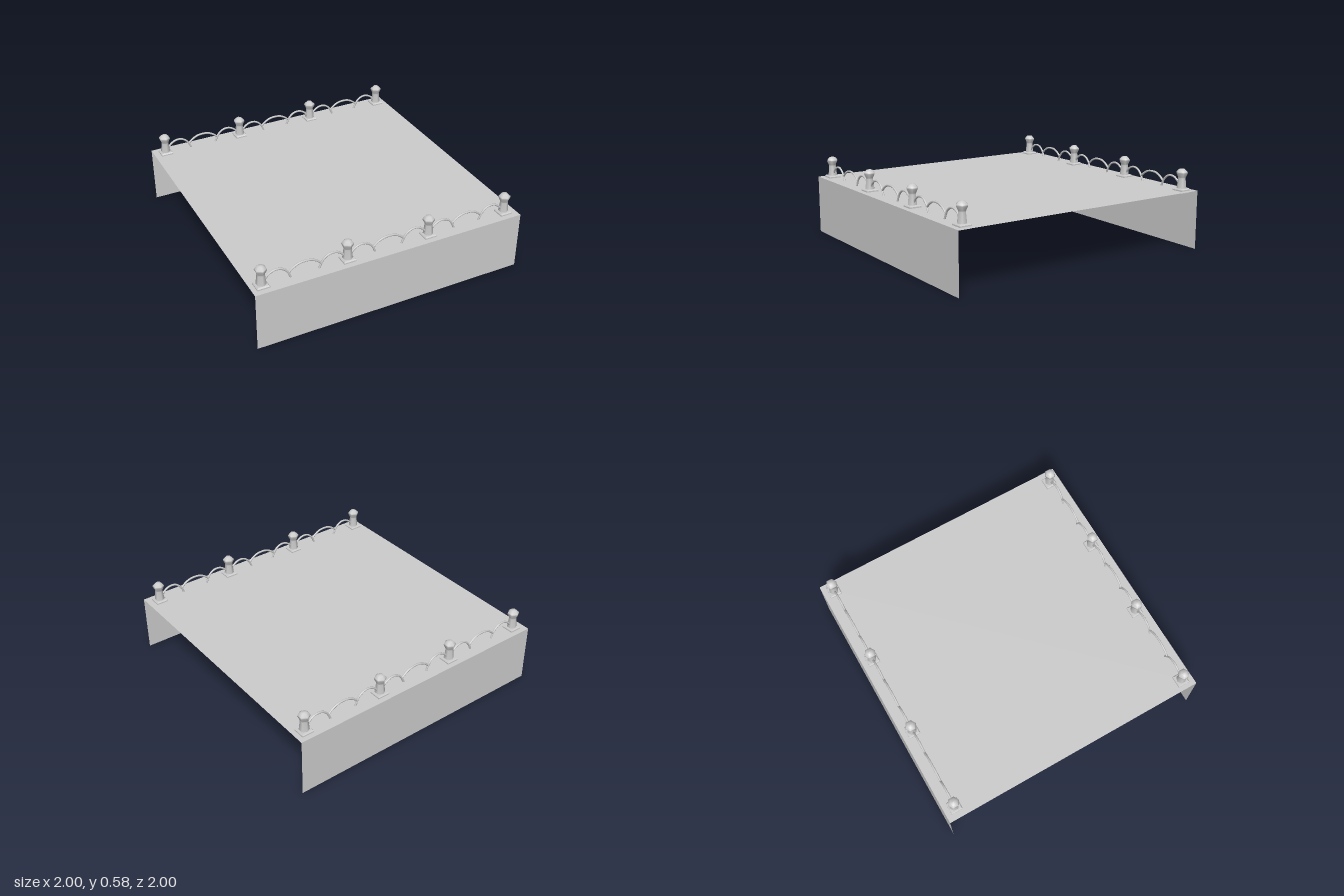
import * as THREE from 'three';

const DECK_Y = 0.427, BAY = 0.611;
const material = new THREE.MeshStandardMaterial({ color: 0xcccccc, side: THREE.DoubleSide });
const flat = material.clone();
flat.flatShading = true;

function add(parent, name, geometry, mat = material) {
  const mesh = new THREE.Mesh(geometry, mat);
  mesh.name = name;
  parent.add(mesh);
  return mesh;
}

// Post: open square plinth with a six-sided turned bollard on top
function makePost() {
  const post = new THREE.Group();
  post.name = 'post';
  const r = Math.SQRT1_2;
  const square = (top, bottom, h, y, open) =>
    new THREE.CylinderGeometry(top * r, bottom * r, h, 4, 1, open).rotateY(Math.PI / 4).translate(0, y, 0);
  add(post, 'plinth', square(0.088, 0.088, 0.024, 0.424, true), flat);
  add(post, 'plinthTop', square(0.074, 0.088, 0.008, 0.44, false), flat);
  const profile = [[0.036, 0.44], [0.034, 0.455], [0.027, 0.515], [0.029, 0.525],
    [0.042, 0.552], [0.04, 0.562], [0.022, 0.58], [0, 0.584]]
    .map(([x, y]) => new THREE.Vector2(x, y));
  add(post, 'bollard', new THREE.LatheGeometry(profile, 6));
  return post;
}

// Bent rail through a few points in the x-y plane
function bentRail(points) {
  const curve = new THREE.CatmullRomCurve3(points.map(([x, y]) => new THREE.Vector3(x, y, 0)));
  return new THREE.TubeGeometry(curve, 14, 0.0075, 6);
}

// One bay: two side arches running down into the deck and a middle arch between them
function makeBay() {
  const bay = new THREE.Group();
  bay.name = 'railBay';
  const side = [[0.02, 0.462], [0.045, 0.492], [0.085, 0.515], [0.13, 0.515],
    [0.165, 0.495], [0.189, 0.463], [0.208, 0.417]];
  const half = [[0.192, 0.466], [0.222, 0.492], [0.262, 0.512]];
  const mirror = (pts) => pts.map(([x, y]) => [BAY - x, y]).reverse();
  add(bay, 'startArch', bentRail(side));
  add(bay, 'middleArch', bentRail([...half, [BAY / 2, 0.517], ...mirror(half)]));
  add(bay, 'endArch', bentRail(mirror(side)));
  return bay;
}

// Row of four posts joined by three bays
function makeRailing(name, x, z) {
  const row = new THREE.Group();
  row.name = name;
  for (let i = 0; i < 4; i++) {
    const post = makePost();
    post.position.x = i * BAY;
    row.add(post);
    if (i < 3) {
      const bay = makeBay();
      bay.position.x = i * BAY;
      row.add(bay);
    }
  }
  row.position.set(x, 0, z);
  return row;
}

export function createModel() {
  const model = new THREE.Group();
  model.name = 'bridgeSection';

  // Thin deck with a hanging panel along the front and the back
  add(model, 'deck', new THREE.PlaneGeometry(2, 2).rotateX(-Math.PI / 2).translate(0, DECK_Y, 0));
  const panel = () => new THREE.PlaneGeometry(2, DECK_Y).translate(0, DECK_Y / 2, 1);
  add(model, 'frontPanel', panel());
  add(model, 'backPanel', panel().rotateY(Math.PI));

  model.add(makeRailing('frontRailing', -0.923, 0.917));
  model.add(makeRailing('backRailing', -0.912, -0.92));
  return model;
}
